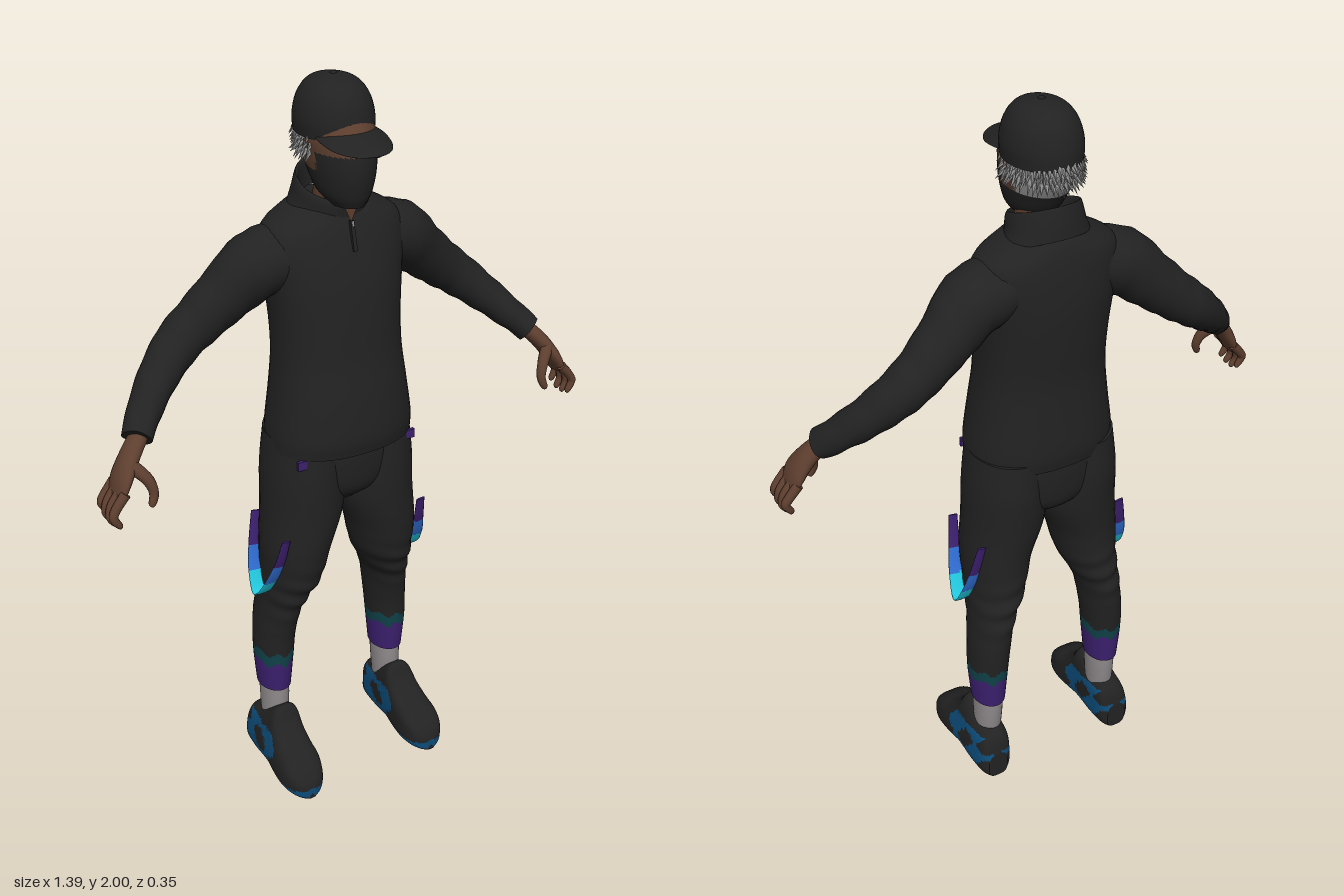
import * as THREE from 'three';
import { mergeGeometries } from 'three/addons/utils/BufferGeometryUtils.js';

const V3 = (x, y, z) => new THREE.Vector3(x, y, z);
const UP = V3(0, 1, 0), DOWN = V3(0, -1, 0), FRONT = V3(0, 0, 1), SIDE = V3(1, 0, 0);

const mat = (name, color) => {
  const m = new THREE.MeshStandardMaterial({ color });
  m.name = name;
  return m;
};

// Smooth body through rows of [x, y, z, radius across, radius along ref].
// axis fixes the plane of the rings; otherwise they follow the path.
// paint(point) picks a material index, shape(point) moves a vertex.
function loft(name, rows, mats, { axis, ref = FRONT, n = 28, steps = 32, power = 1, paint = () => 0, shape, caps = true } = {}) {
  const path = new THREE.CatmullRomCurve3(rows.map(r => V3(r[0], r[1], r[2])), false, 'catmullrom');
  const size = new THREE.CatmullRomCurve3(rows.map(r => V3(r[3], r[4], 0)), false, 'catmullrom');
  const pts = [], lists = mats.map(() => []);
  const soft = v => Math.sign(v) * Math.pow(Math.abs(v), power);
  const centres = [];
  for (let i = 0; i <= steps; i++) {
    const c = path.getPoint(i / steps), s = size.getPoint(i / steps);
    const t = (axis ? axis.clone() : path.getTangent(i / steps)).normalize();
    const v = ref.clone().addScaledVector(t, -ref.dot(t)).normalize();
    const u = V3(0, 0, 0).crossVectors(v, t);
    centres.push(c);
    for (let j = 0; j < n; j++) {
      const q = j / n * Math.PI * 2;
      const p = c.clone().addScaledVector(u, soft(Math.cos(q)) * Math.max(s.x, 0.001))
        .addScaledVector(v, soft(Math.sin(q)) * Math.max(s.y, 0.001));
      if (shape) shape(p);
      pts.push(p);
    }
  }
  const face = (a, b, c) => {
    const mid = pts[a].clone().add(pts[b]).add(pts[c]).divideScalar(3);
    lists[paint(mid)].push(a, b, c);
  };
  for (let i = 0; i < steps; i++) for (let j = 0; j < n; j++) {
    const k = (j + 1) % n, a = i * n + j, b = i * n + k;
    face(a, b, a + n);
    face(b, b + n, a + n);
  }
  if (caps) for (const end of [0, steps]) {
    const start = pts.length;
    for (let j = 0; j < n; j++) pts.push(pts[end * n + j].clone());
    const c = centres[end].clone();
    if (shape) shape(c);
    pts.push(c);
    for (let j = 0; j < n; j++) {
      const a = start + j, b = start + (j + 1) % n;
      end ? face(a, b, start + n) : face(b, a, start + n);
    }
  }
  const g = new THREE.BufferGeometry().setFromPoints(pts);
  let at = 0;
  lists.forEach((l, i) => { if (l.length) g.addGroup(at, l.length, i); at += l.length; });
  g.setIndex(lists.flat());
  g.computeVertexNormals();
  const mesh = new THREE.Mesh(g, mats.length > 1 ? mats : mats[0]);
  mesh.name = name;
  return mesh;
}

export function createModel() {
  const black = mat('blackCloth', 0x222222), skin = mat('skin', 0x5e3f2f);
  const purple = mat('purple', 0x3d2070), teal = mat('darkTeal', 0x10424a);
  const sock = mat('sockGrey', 0x8f8a8c), hair = mat('hairGrey', 0x969696);
  const shoeBlue = mat('shoeBlue', 0x0d4c7a), blue = mat('strapBlue', 0x2f6cd0), cyan = mat('strapCyan', 0x22c6dc);
  const model = new THREE.Group();
  model.name = 'figure';
  const add = (...parts) => model.add(...parts);
  const box = (name, m, w, h, d, x, y, z, rx = 0) => {
    const b = new THREE.Mesh(new THREE.BoxGeometry(w, h, d), m);
    b.name = name;
    b.position.set(x, y, z);
    b.rotation.x = rx;
    add(b);
  };

  // Sweater body, collar and zip
  add(loft('sweater', [
    [0, 1.05, -.02, .198, .145], [0, 1.1, -.02, .196, .152], [0, 1.2, -.022, .182, .145],
    [0, 1.3, -.028, .171, .135], [0, 1.4, -.036, .172, .134], [0, 1.5, -.045, .182, .13],
    [0, 1.58, -.053, .192, .118], [0, 1.635, -.058, .178, .105], [0, 1.67, -.06, .125, .092], [0, 1.69, -.06, .085, .08],
  ], [black], { axis: UP, n: 40, steps: 45, power: .88 }));
  add(loft('collar', [
    [0, 1.655, -.055, .114, .1], [0, 1.69, -.055, .1, .096], [0, 1.725, -.05, .092, .094],
    [0, 1.738, -.05, .086, .089], [0, 1.725, -.05, .08, .083], [0, 1.67, -.05, .078, .08],
  ], [black], { axis: V3(0, 1, .38), n: 36, caps: false }));
  add(loft('neck', [[0, 1.62, -.04, .06, .06], [0, 1.74, -.02, .055, .06]], [skin], { axis: UP, steps: 4 }));
  const vee = new THREE.Mesh(new THREE.ShapeGeometry(new THREE.Shape(
    [[-.022, .025], [0, -.025], [.022, .025]].map(p => new THREE.Vector2(...p)))), skin);
  vee.material.side = THREE.DoubleSide;
  vee.name = 'neckOpening';
  vee.position.set(0, 1.678, .046);
  add(vee);
  box('zip', black, .01, .075, .009, 0, 1.622, .056, -.25);
  box('zipPull', sock, .005, .012, .006, 0, 1.652, .052, -.25);

  // Head with face mask, and hair painted on the back
  add(loft('head', [
    [0, 1.7, .025, .04, .055], [0, 1.73, .008, .062, .085], [0, 1.78, -.005, .076, .108],
    [0, 1.83, -.02, .083, .122], [0, 1.87, -.028, .086, .118], [0, 1.93, -.035, .07, .09],
  ], [skin, black, hair], {
    axis: UP, n: 48, steps: 50,
    paint: p => p.y < 1.832 && p.z > .012 || p.y < 1.785 ? 1 : p.z < -.045 ? 2 : 0,
  }));

  // Short tufts of hair below the cap
  let seed = 7;
  const rnd = () => (seed = seed * 16807 % 2147483647) / 2147483647;
  const tufts = [];
  for (let row = 0; row < 3; row++) for (let i = 0; i < 30; i++) {
    const a = -.25 + (Math.PI + .5) * (i + rnd() * .6) / 29.6;
    const out = V3(Math.cos(a), -.7 - rnd(), -Math.sin(a)).normalize();
    const g = new THREE.ConeGeometry(.009, .035 + rnd() * .015, 5);
    g.applyQuaternion(new THREE.Quaternion().setFromUnitVectors(UP, out));
    g.translate(Math.cos(a) * .088, 1.862 - row * .021, -.03 - Math.sin(a) * (.122 - row * .004));
    tufts.push(g);
  }
  const hairMesh = new THREE.Mesh(mergeGeometries(tufts), hair);
  hairMesh.name = 'hairTufts';
  add(hairMesh);

  // Cap
  add(loft('capCrown', [
    [0, 1.862, -.038, .093, .112], [0, 1.905, -.038, .094, .109], [0, 1.95, -.038, .081, .095],
    [0, 1.982, -.038, .053, .064], [0, 1.996, -.038, .004, .004],
  ], [black], { axis: UP, n: 36 }));
  add(loft('capBrim', [
    [0, 1.888, .02, .082, .005], [0, 1.884, .06, .084, .005], [0, 1.874, .1, .076, .005],
    [0, 1.864, .135, .058, .005], [0, 1.857, .157, .034, .004], [0, 1.854, .168, .004, .002],
  ], [black], { axis: FRONT, ref: UP, shape: p => { p.y -= 3 * p.x * p.x; } }));
  const button = new THREE.Mesh(new THREE.SphereGeometry(.009, 12, 6), black);
  button.name = 'capButton';
  button.scale.y = .6;
  button.position.set(0, 1.9946, -.038);
  add(button);

  // Trouser seat
  add(loft('trouserSeat', [
    [0, 1.1, -.03, .188, .13], [0, 1, -.03, .2, .13], [0, .92, -.03, .15, .115], [0, .865, -.03, .05, .06],
  ], [black], { axis: DOWN, n: 36 }));

  for (const [side, s] of [['left', 1], ['right', -1]]) {
    const part = (name, rows, mats, opt) =>
      add(loft(side + name, rows.map(([x, ...r]) => [s * x, ...r]), mats, opt));

    // Sleeve
    part('Sleeve', [
      [.1, 1.575, -.06, .075, .09], [.2, 1.545, -.068, .085, .086], [.27, 1.488, -.083, .074, .072],
      [.35, 1.42, -.095, .064, .062], [.41, 1.373, -.093, .058, .059], [.48, 1.312, -.063, .049, .052],
      [.54, 1.255, -.018, .041, .046], [.578, 1.215, .02, .036, .042],
    ], [black], { steps: 40, shape: p => { p.y += .002 * Math.sin(Math.abs(p.x) * 110); } });

    // Hand
    part('Palm', [
      [.57, 1.22, .016, .022, .027], [.607, 1.18, .035, .022, .034],
      [.637, 1.135, .049, .019, .045], [.655, 1.095, .054, .012, .042],
    ], [skin], { steps: 14, n: 20 });
    [.016, .041, .066, .09].forEach((z, i) => {
      const drop = [.012, 0, 0, .008][i];
      part('Finger' + (i + 1), [
        [.645, 1.115, z, .013, .013], [.673, 1.082, z + .002, .012, .012],
        [.682, 1.052 + drop, z + .004, .011, .011], [.668, 1.027 + drop, z + .006, .008, .008],
        [.664, 1.022 + drop, z + .006, .002, .002],
      ], [skin], { steps: 12, n: 10 });
    });
    part('Thumb', [
      [.615, 1.17, .06, .018, .018], [.585, 1.135, .084, .015, .015], [.575, 1.1, .094, .012, .012],
      [.584, 1.072, .1, .009, .009], [.586, 1.067, .1, .002, .002],
    ], [skin], { steps: 14, n: 12 });

    // Trouser leg with uneven coloured bands at the hem
    part('TrouserLeg', [
      [.1, 1.08, -.03, .098, .125], [.106, .97, -.03, .105, .13], [.109, .86, -.027, .108, .124],
      [.131, .75, -.025, .094, .115], [.143, .65, -.035, .08, .108], [.167, .55, -.057, .059, .091],
      [.18, .45, -.067, .056, .077], [.185, .36, -.067, .053, .07], [.186, .255, -.067, .045, .06],
    ], [black, purple, teal], {
      axis: DOWN, n: 36, steps: 100,
      shape: p => { p.z += .005 * Math.sin(p.y * 95 + p.x * 20) * Math.exp(-Math.pow((p.y - .6) / .07, 2)); },
      paint: p => {
        const y = p.y + .008 * Math.sin(p.x * 130 + p.z * 45);
        return y < .35 ? 1 : y < .385 ? 2 : 0;
      },
    });
    part('Sock', [[.186, .3, -.066, .038, .052], [.186, .22, -.065, .039, .053], [.188, .12, -.062, .036, .045]],
      [sock], { axis: DOWN, steps: 8 });

    // Shoe: rows of [z, top height, half width]
    const shoe = [[-.15, .085, .03], [-.138, .125, .044], [-.115, .15, .052], [-.07, .162, .056], [-.03, .19, .057],
      [.005, .205, .058], [.03, .165, .06], [.07, .128, .063], [.11, .11, .063], [.145, .086, .053], [.168, .058, .035], [.178, .035, .014]];
    part('Shoe', shoe.map(([z, h, w]) => [.2, h / 2, z, w, h / 2]), [black, shoeBlue], {
      axis: FRONT, ref: UP, n: 56, steps: 66, power: .62,
      shape: p => {
        p.x = s * .2 + (p.x - s * .2) * (1 - 1.5 * Math.max(0, p.y - .04)) - s * .08 * Math.max(0, p.y - .06);
        p.y = Math.max(p.y, 0);
      },
      paint: p => {
        if (p.y < .008) return 0;
        if (p.y < .03) return p.z > -.13 ? 1 : 0;
        const patch = Math.sin(p.z * 62 + 1) + Math.sin(p.y * 75 + p.z * 30);
        return p.z < .05 && p.y < .135 && Math.abs(p.x - s * .2) > .012 && patch > -.25 ? 1 : 0;
      },
    });

    // Hanging strap, shaded from purple to cyan
    part('Strap', [
      [.208, .815, .07, .003, .013], [.217, .74, .05, .003, .016], [.23, .665, .02, .003, .02],
      [.24, .606, -.025, .003, .022], [.235, .665, -.064, .003, .02], [.224, .74, -.086, .003, .016], [.21, .82, -.1, .003, .013],
    ], [purple, blue, cyan], { ref: SIDE, n: 12, steps: 60, paint: p => p.y > .725 ? 0 : p.y > .66 ? 1 : 2 });

    // Pocket accent under the sweater hem
    box(side + 'PocketTrim', purple, .045, .025, .009, s * .152, 1.038, .078);
  }
  return model;
}
